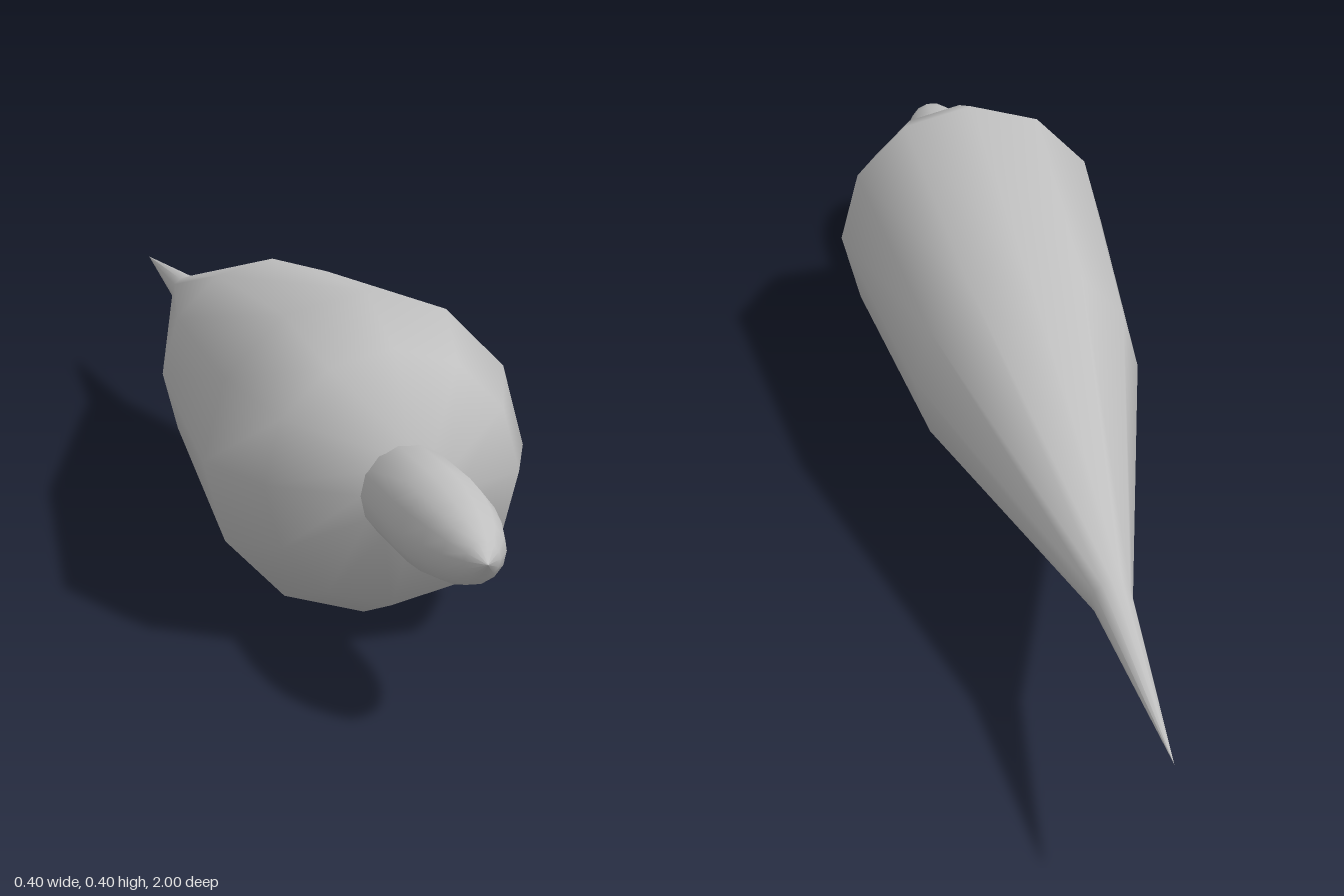
import * as THREE from 'three';

const AXIS_HEIGHT = 0.202;

// Revolves [z, radius] pairs, listed back to front, around the long axis.
function revolve(name, profile, sides, startAngle, material) {
  const points = profile.map(([z, radius]) => new THREE.Vector2(radius, z));
  const geometry = new THREE.LatheGeometry(points, sides, startAngle);
  geometry.rotateX(Math.PI / 2);
  const mesh = new THREE.Mesh(geometry, material);
  mesh.name = name;
  mesh.position.y = AXIS_HEIGHT;
  return mesh;
}

export function createModel() {
  const model = new THREE.Group();
  model.name = 'taperedSpindle';

  const grey = new THREE.MeshStandardMaterial({ color: 0xc0c0c0 });
  grey.name = 'light grey';

  // Twelve-sided body drawn out to a thin point at the back
  model.add(revolve('body', [
    [-1, 0], [-0.65, 0.025], [-0.03, 0.156], [0.485, 0.202],
    [0.615, 0.156], [0.69, 0.057], [0.69, 0],
  ], 12, 0, grey));

  // Slim round-nosed pin at the front
  model.add(revolve('frontPin', [
    [0.65, 0], [0.65, 0.058], [0.81, 0.058], [0.86, 0.055],
    [0.91, 0.047], [0.95, 0.036], [0.98, 0.02], [1, 0],
  ], 14, Math.PI / 2, grey));

  return model;
}
